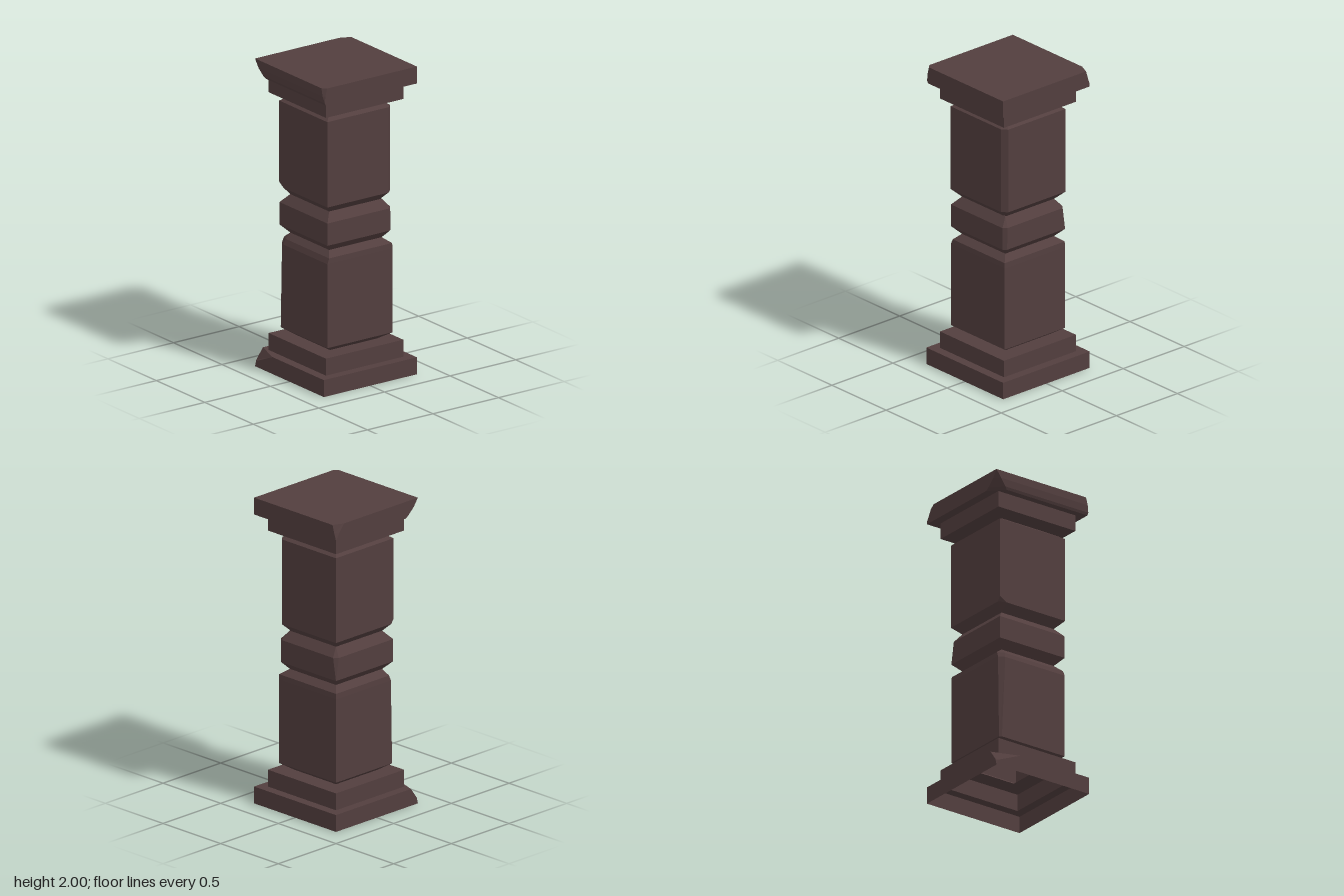
import * as THREE from 'three';

// Corners in order around the pillar, counterclockwise from above
const CORNERS = [['fl', 1, 1], ['bl', 1, -1], ['br', -1, -1], ['fr', -1, 1]];

// One square cross-section; chips cut a corner by [dx, dz], front pulls the +z side in
function ring([y, h, chips = {}, front = 0]) {
  const points = [];
  for (const [key, sx, sz] of CORNERS) {
    const [dx, dz] = chips[key] ?? [0, 0];
    const depth = sz > 0 ? h - front : h;
    const alongX = new THREE.Vector3(sx * (h - dx), y, sz * depth);
    const alongZ = new THREE.Vector3(sx * h, y, sz * (depth - dz));
    points.push(...(sx * sz > 0 ? [alongX, alongZ] : [alongZ, alongX]));
  }
  return points;
}

// Skin a stack of cross-sections, leaving out collapsed triangles
function loft(sections, capped) {
  const rings = sections.map(ring);
  const positions = [];
  const triangle = (a, b, c) => {
    const area = b.clone().sub(a).cross(c.clone().sub(a)).length();
    if (area > 1e-7) for (const p of [a, b, c]) positions.push(p.x, p.y, p.z);
  };
  for (let i = 0; i < rings.length - 1; i++) {
    const low = rings[i], high = rings[i + 1];
    for (let k = 0; k < 8; k++) {
      const n = (k + 1) % 8;
      triangle(low[k], low[n], high[n]);
      triangle(low[k], high[n], high[k]);
    }
  }
  if (capped) {
    const top = rings[rings.length - 1];
    for (let k = 1; k < 7; k++) triangle(top[0], top[k], top[k + 1]);
  }
  const geometry = new THREE.BufferGeometry();
  geometry.setAttribute('position', new THREE.Float32BufferAttribute(positions, 3));
  geometry.computeVertexNormals();
  return geometry;
}

export function createModel() {
  const group = new THREE.Group();
  group.name = 'pillar';
  const stone = new THREE.MeshStandardMaterial({ color: 0x523e3e, side: THREE.DoubleSide, flatShading: true });
  stone.name = 'dark stone';

  const add = (name, sections, capped = false) => {
    const mesh = new THREE.Mesh(loft(sections, capped), stone);
    mesh.name = name;
    group.add(mesh);
  };

  // Hollow stepped foot, open underneath
  const footChip = { fr: [0.18, 0.06] };
  add('footSlab', [
    [0, 0.355],
    [0.04, 0.355, { fr: [0.02, 0.01] }],
    [0.11, 0.355, footChip],
    [0.11, 0.295],
  ]);
  add('footStep', [[0.11, 0.295], [0.22, 0.295], [0.22, 0.18]]);

  // Lower shaft with a worn front right edge
  add('lowerShaft', [
    [0.22, 0.18],
    [0.265, 0.248, { fr: [0.015, 0.01] }],
    [0.81, 0.248, { fr: [0.04, 0.02] }],
    [0.845, 0.246, { fr: [0.045, 0.02] }, 0.012],
    [0.88, 0.2],
  ]);

  // Middle band between two grooves
  add('middleBand', [
    [0.88, 0.2],
    [0.93, 0.248, { bl: [0.02, 0.02] }],
    [1.075, 0.248, { bl: [0.025, 0.02], br: [0.025, 0.025] }],
    [1.13, 0.2],
  ]);

  // Upper shaft with a chamfered back left edge
  const edge = [0.03, 0.035];
  add('upperShaft', [
    [1.13, 0.2, { bl: [0.015, 0.015] }],
    [1.18, 0.25, { bl: edge, fr: [0.05, 0.02] }],
    [1.21, 0.25, { bl: edge }],
    [1.735, 0.25, { bl: edge }],
    [1.785, 0.17],
  ]);

  // Stepped cap with chipped corners and a bevelled front
  add('capStep', [[1.785, 0.17], [1.785, 0.295], [1.89, 0.295]]);
  add('capSlab', [
    [1.89, 0.295],
    [1.89, 0.355, { fr: [0.09, 0.09] }, 0.016],
    [1.905, 0.355, { fr: [0.075, 0.075] }, 0.008],
    [1.95, 0.355, { fr: [0.035, 0.035], br: [0.015, 0.03], fl: [0.012, 0.012] }],
    [2, 0.355, { br: [0.03, 0.07], fl: [0.025, 0.025] }],
  ], true);

  return group;
}
